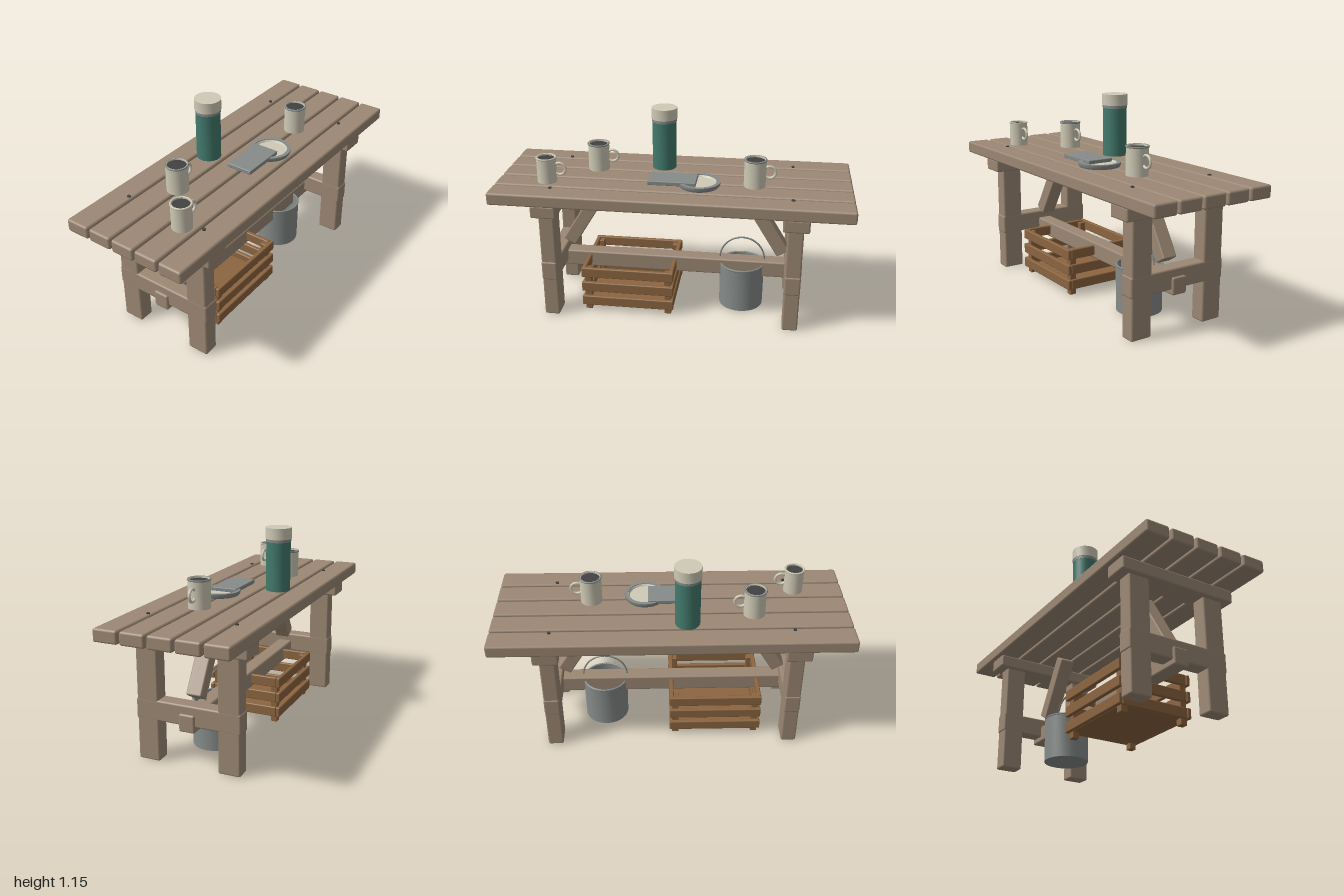
import * as THREE from 'three';
import { RoundedBoxGeometry } from 'three/addons/geometries/RoundedBoxGeometry.js';
import { toCreasedNormals } from 'three/addons/utils/BufferGeometryUtils.js';

const mat = (name, color, side = THREE.FrontSide) => {
  const m = new THREE.MeshStandardMaterial({ color, side });
  m.name = name;
  return m;
};

export function createModel() {
  const wood = mat('weathered wood', 0x9c8874);
  const crateWood = mat('crate wood', 0x8c6540);
  const steel = mat('galvanised steel', 0x868c8a, THREE.DoubleSide);
  const cream = mat('cream enamel', 0xcfcab6, THREE.DoubleSide);
  const green = mat('green enamel', 0x427a6c);
  const dark = mat('dark', 0x424242);

  const model = new THREE.Group();
  model.name = 'workTable';
  const group = (name, x = 0, y = 0, z = 0) => {
    const g = new THREE.Group();
    g.name = name;
    g.position.set(x, y, z);
    model.add(g);
    return g;
  };
  const add = (parent, name, geo, m, x = 0, y = 0, z = 0) => {
    const mesh = new THREE.Mesh(geo, m);
    mesh.name = name;
    mesh.position.set(x, y, z);
    parent.add(mesh);
    return mesh;
  };
  const beam = (parent, name, w, h, d, m, x, y, z, r = 0.01) =>
    add(parent, name, new RoundedBoxGeometry(w, h, d, 1, r), m, x, y, z);
  const lathe = (points, n = 24) => toCreasedNormals(
    new THREE.LatheGeometry(points.map(p => new THREE.Vector2(...p)), n), 0.6);

  // Table top: five planks with bolt heads
  const table = group('table');
  for (let i = -2; i <= 2; i++) {
    beam(table, 'plank', 2, 0.072, 0.138, wood, 0, 0.756, i * 0.15, 0.012);
  }
  for (const x of [-0.668, 0.668]) for (const z of [-0.25, 0.25]) {
    add(table, 'boltHead', new THREE.CylinderGeometry(0.01, 0.01, 0.008, 10), dark, x, 0.794, z);
  }

  // Trestles: bearer, two legs, cross rail and diagonal brace
  for (const s of [-1, 1]) {
    beam(table, 'bearer', 0.144, 0.074, 0.70, wood, s * 0.692, 0.683, 0);
    for (const t of [-1, 1]) {
      beam(table, 'leg', 0.088, 0.65, 0.124, wood, s * 0.692, 0.33, t * 0.233);
    }
    beam(table, 'crossRail', 0.09, 0.114, 0.60, wood, s * 0.692, 0.293, 0);
    const brace = beam(table, 'brace', 0.08, 0.39, 0.088, wood, s * 0.533, 0.528, 0, 0.008);
    brace.rotation.z = s * 0.55;
  }
  beam(table, 'stretcher', 1.5, 0.098, 0.09, wood, 0, 0.255, 0);

  // Slatted crate under the table
  const crate = group('crate', -0.255, 0, 0);
  for (const y of [0.07, 0.162, 0.255]) {
    for (const s of [-1, 1]) {
      beam(crate, 'longSlat', 0.54, 0.06, 0.024, crateWood, 0, y, s * 0.212, 0.006);
      beam(crate, 'endSlat', 0.024, 0.06, 0.40, crateWood, s * 0.256, y, 0, 0.006);
    }
  }
  for (const s of [-1, 1]) for (const t of [-1, 1]) {
    beam(crate, 'cornerPost', 0.04, 0.27, 0.04, crateWood, s * 0.236, 0.14, t * 0.184, 0.004);
  }
  beam(crate, 'crateFloor', 0.49, 0.02, 0.40, crateWood, 0, 0.05, 0, 0.004);

  // Bucket with rolled rim and wire bail
  const bucket = group('bucket', 0.398, 0.012, 0);
  add(bucket, 'bucketBody', lathe([[0, 0], [0.129, 0], [0.131, 0.265], [0.122, 0.265], [0.119, 0.015], [0, 0.015]]), steel);
  const rim = add(bucket, 'bucketRim', new THREE.TorusGeometry(0.128, 0.006, 6, 24), steel, 0, 0.262, 0);
  rim.rotation.x = Math.PI / 2;
  const arc = [];
  for (let i = 0; i <= 12; i++) {
    const a = Math.PI * i / 12;
    arc.push(new THREE.Vector3(Math.cos(a) * 0.131, 0.285 + Math.sin(a) * 0.138, 0));
  }
  arc.unshift(new THREE.Vector3(0.131, 0.24, 0));
  arc.push(new THREE.Vector3(-0.131, 0.24, 0));
  add(bucket, 'bucketBail', new THREE.TubeGeometry(new THREE.CatmullRomCurve3(arc), 32, 0.005, 6), steel);

  // Vacuum flask
  const flask = group('flask', -0.086, 0.792, -0.167);
  add(flask, 'flaskBody', lathe([[0, 0], [0.07, 0], [0.07, 0.284], [0, 0.284]]), green);
  add(flask, 'flaskCollar', lathe([[0, 0.282], [0.072, 0.282], [0.072, 0.3], [0, 0.3]]), steel);
  add(flask, 'flaskCap', lathe([[0, 0.299], [0.075, 0.299], [0.075, 0.363], [0, 0.363]]), cream);

  // Mugs, each filled with a dark drink
  const mug = (x, z, r, h, rimMaterial) => {
    const g = group('mug', x, 0.792, z);
    add(g, 'mugBody', lathe([[0, 0], [r, 0], [r, h], [r - 0.007, h], [r - 0.007, h - 0.02], [0, h - 0.02]]), cream);
    const lip = add(g, 'mugRim', new THREE.TorusGeometry(r - 0.001, 0.005, 6, 24), rimMaterial, 0, h - 0.003, 0);
    lip.rotation.x = Math.PI / 2;
    add(g, 'drink', new THREE.CylinderGeometry(r - 0.007, r - 0.007, 0.008, 24), dark, 0, h - 0.013, 0);
    add(g, 'mugHandle', new THREE.TorusGeometry(0.034, 0.008, 8, 20), cream, r + 0.019, h * 0.53, 0);
  };
  mug(-0.711, 0.146, 0.055, 0.145, cream);
  mug(-0.462, -0.087, 0.061, 0.158, steel);
  mug(0.454, 0.064, 0.061, 0.158, steel);

  // Plate with a steel rim, and a flat slab resting on it
  const plate = group('plate', 0.147, 0.792, 0.096);
  add(plate, 'plateBase', lathe([[0, 0], [0.09, 0], [0.116, 0.022], [0.096, 0.022], [0.09, 0.012], [0, 0.012]], 28), cream);
  add(plate, 'plateRim', lathe([[0.094, 0.0], [0.112, 0.0], [0.119, 0.012], [0.119, 0.026], [0.098, 0.026], [0.094, 0.0]], 28), steel);
  beam(model, 'slab', 0.27, 0.024, 0.155, steel, -0.003, 0.813, 0.079, 0.004);

  return model;
}
